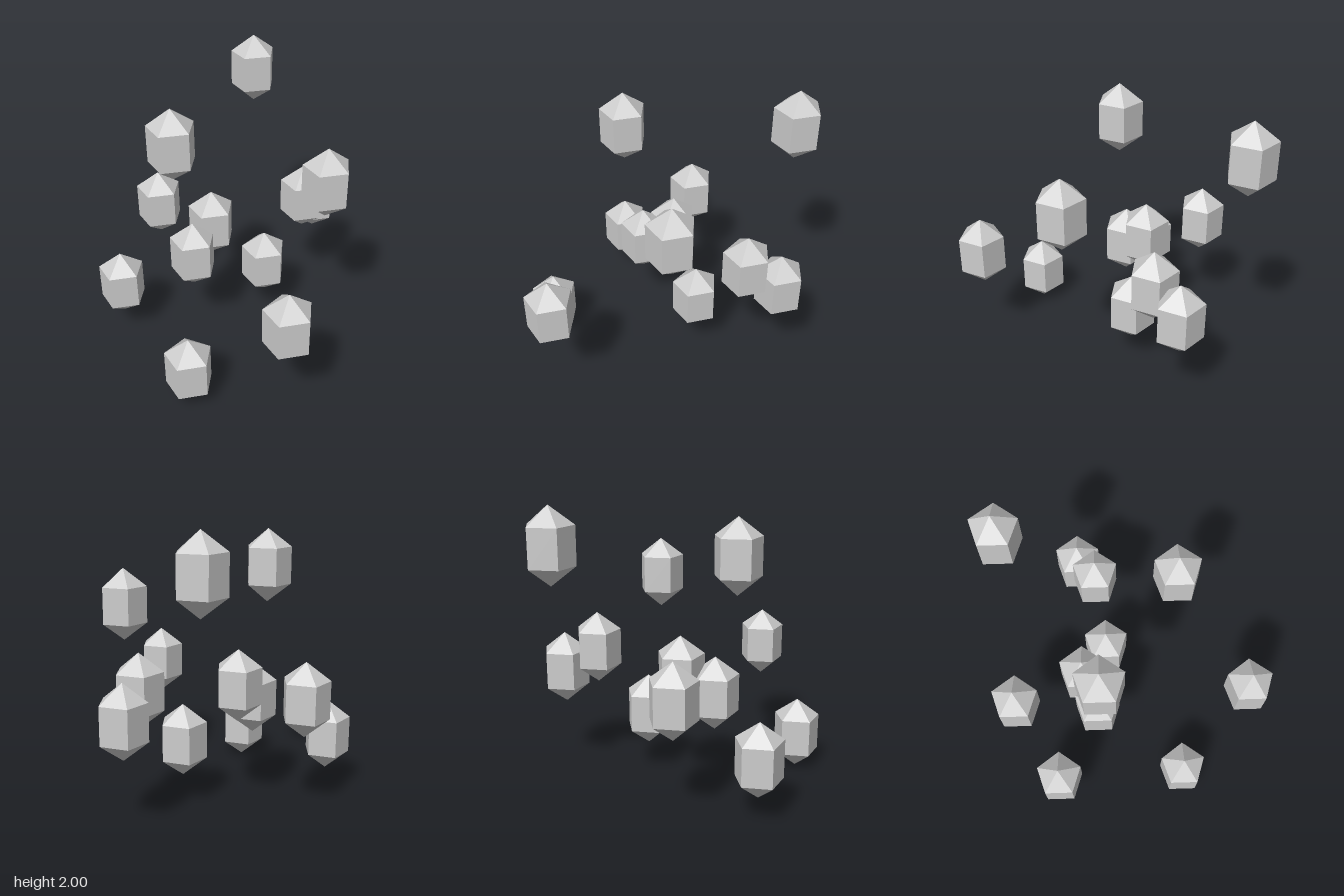
import * as THREE from 'three';
import { mergeGeometries } from 'three/addons/utils/BufferGeometryUtils.js';

const RADIUS = 0.168, BODY = 0.264, TIP = 0.129, SIDES = 5;

// One five-sided stage of a crystal, with a corner pointing to +x
function stage(top, bottom, height, y) {
  return new THREE.CylinderGeometry(top, bottom, height, SIDES, 1, true, Math.PI / 2).translate(0, y, 0);
}

// Pentagonal prism with a pyramid at each end, faceted
function crystalGeometry() {
  const offset = (BODY + TIP) / 2;
  const geometry = mergeGeometries([
    stage(0, RADIUS, TIP, offset),
    stage(RADIUS, RADIUS, BODY, 0),
    stage(RADIUS, 0, TIP, -offset),
  ]).toNonIndexed();
  geometry.computeVertexNormals();
  return geometry;
}

// Centres of the floating crystals
const CENTRES = [
  [-0.595, 1.739, -0.738], [-0.292, 1.654, 0.429], [0.497, 1.378, -0.233],
  [-0.83, 0.832, 0.095], [-0.312, 0.85, 0.054], [0.016, 0.904, -0.612],
  [-0.28, 0.705, 0.288], [0.8, 0.78, 0.527], [-0.04, 0.47, -0.225],
  [-0.705, 0.423, 0.628], [0.2, 0.261, 0.84], [-0.048, 0.761, -0.84],
];

export function createModel() {
  const group = new THREE.Group();
  group.name = 'crystalCluster';
  const material = new THREE.MeshStandardMaterial({ color: 0xcccccc, flatShading: true });
  material.name = 'pale grey';
  const geometry = crystalGeometry();
  CENTRES.forEach((centre, i) => {
    const crystal = new THREE.Mesh(geometry, material);
    crystal.name = `crystal${i + 1}`;
    crystal.position.set(...centre);
    group.add(crystal);
  });
  return group;
}
